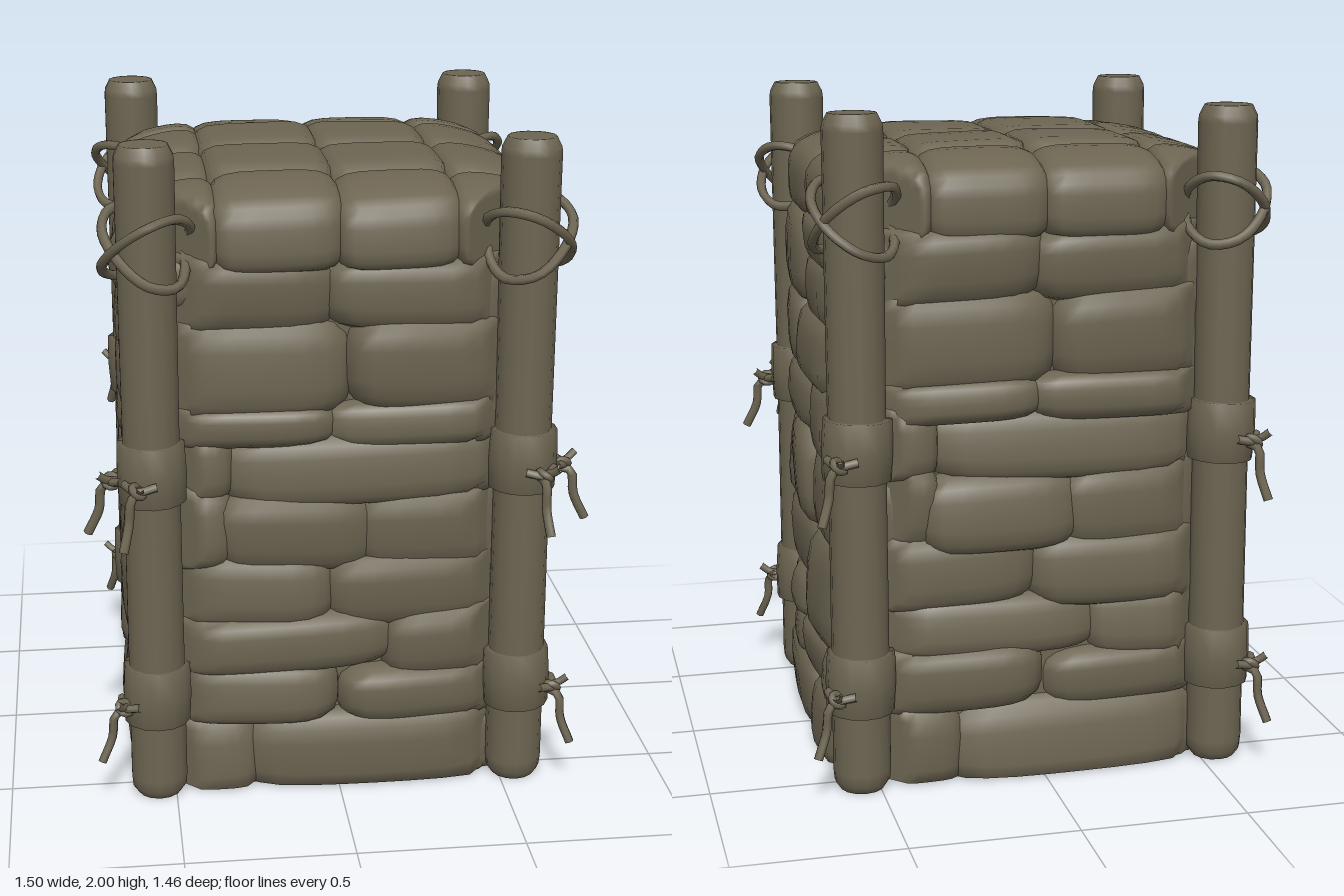
import * as THREE from 'three';
import { mergeVertices } from 'three/addons/utils/BufferGeometryUtils.js';

const material = new THREE.MeshStandardMaterial({ color: 0x6d6552 });
material.name = 'weathered brown';

let seed = 7;
const rand = () => (seed = (seed * 16807) % 2147483647) / 2147483647;
const spread = (a) => (rand() * 2 - 1) * a;

function add(parent, geometry, name) {
  const mesh = new THREE.Mesh(geometry, material);
  mesh.name = name;
  parent.add(mesh);
  return mesh;
}

// Pillow-shaped block filling the given box; bend moves each point, cut trims the pillar corners
function stoneGeometry([x0, x1], [y0, y1], [z0, z1], cut, n, tilt, bend) {
  let g = new THREE.BoxGeometry(2, 2, 2, 8, 6, 6);
  g.deleteAttribute('uv');
  g.deleteAttribute('normal');
  g = mergeVertices(g);
  const p = g.attributes.position;
  const tx = spread(tilt), ty = spread(tilt), skew = spread(tilt);
  const v3 = new THREE.Vector3();
  for (let i = 0; i < p.count; i++) {
    const a = [p.getX(i), p.getY(i), p.getZ(i)];
    const k = a.reduce((s, v) => s + Math.abs(v) ** n, 0) ** (-1 / n);
    const [u, v, w] = a.map((c) => c * k);
    v3.set(
      (x0 + x1) / 2 + (u * (x1 - x0)) / 2,
      (y0 + y1) / 2 + (v * (y1 - y0)) / 2 + u * skew * 0.6,
      (z0 + z1) / 2 + (w * (z1 - z0)) / 2 + Math.max(0, w) * (u * tx + v * ty));
    bend(v3);
    const over = Math.max(0, Math.abs(v3.x) + Math.abs(v3.z) - cut) / 2;
    p.setXYZ(i, v3.x - Math.sign(v3.x) * over, Math.max(0.006, v3.y), v3.z - Math.sign(v3.z) * over);
  }
  g.computeVertexNormals();
  return g;
}

// Wall layouts: [left, right, bottom, top] of every stone
const frontWall = [
  [-0.52, -0.26, 0, 0.23], [-0.29, 0.52, 0, 0.23],
  [-0.52, -0.02, 0.23, 0.41], [0.02, 0.52, 0.22, 0.37],
  [-0.52, 0.17, 0.4, 0.56], [0.15, 0.52, 0.36, 0.56],
  [-0.52, -0.03, 0.55, 0.76], [-0.03, 0.52, 0.53, 0.74],
  [-0.52, -0.33, 0.74, 0.97], [-0.36, 0.1, 0.72, 0.94], [0.06, 0.52, 0.71, 0.94],
  [-0.52, -0.33, 0.95, 1.14], [-0.35, 0.52, 0.93, 1.13],
  [-0.52, -0.02, 1.12, 1.21], [-0.04, 0.52, 1.11, 1.22],
  [-0.52, 0.02, 1.2, 1.48], [0.04, 0.52, 1.21, 1.47],
  [-0.52, -0.02, 1.46, 1.66], [-0.03, 0.52, 1.46, 1.65],
];
const sideWall = [
  [-0.52, 0.08, 0, 0.22], [0.08, 0.52, 0, 0.21],
  [-0.52, -0.34, 0.21, 0.44], [-0.36, -0.04, 0.21, 0.35], [-0.36, 0, 0.34, 0.45],
  [-0.04, 0.28, 0.2, 0.36], [0.27, 0.52, 0.2, 0.36],
  [-0.52, 0.02, 0.44, 0.68], [0.02, 0.52, 0.35, 0.69],
  [-0.52, -0.28, 0.66, 0.98], [-0.29, 0.03, 0.66, 0.98], [0.02, 0.52, 0.68, 0.95],
  [-0.52, 0.09, 0.97, 1.13], [0.08, 0.52, 0.94, 1.18],
  [-0.52, -0.15, 1.12, 1.38], [-0.17, 0.52, 1.16, 1.36],
  [-0.52, 0.01, 1.37, 1.64], [0, 0.52, 1.36, 1.54], [0.02, 0.52, 1.53, 1.66],
];

function wall(layout, reach, angle, name) {
  const group = new THREE.Group();
  group.name = name;
  group.rotation.y = angle;
  const bow = (v) => { v.z -= 0.08 * v.x * v.x; };
  for (const [a, b, c, d] of layout) {
    const out = reach + spread(0.012);
    const bottom = c === 0 ? -0.06 : c - 0.025;
    add(group, stoneGeometry([a - 0.03, b + 0.03], [bottom, d + 0.025],
      [0.25, out], 0.995 + spread(0.015), 4, 0.018, bow), 'wallStone');
  }
  return group;
}

// Capping stones in a four by four grid, their tops sloping down toward the rim
function capStones() {
  const group = new THREE.Group();
  group.name = 'capStones';
  const xs = [-0.6, -0.355, 0, 0.34, 0.6], zs = [-0.6, -0.36, -0.02, 0.35, 0.6];
  const drop = (c) => 0.055 * (Math.max(0, Math.abs(c) - 0.34) / 0.26) ** 2;
  const slope = (v) => { v.y -= (drop(v.x) + drop(v.z)) * Math.max(0, (v.y - 1.64) / 0.25); };
  for (let i = 0; i < 4; i++) {
    for (let j = 0; j < 4; j++) {
      const rim = (i % 3 === 0) + (j % 3 === 0);
      const top = 1.892 - rim * 0.006 + spread(0.005);
      add(group, stoneGeometry([xs[i] - 0.02, xs[i + 1] + 0.02], [1.62, top],
        [zs[j] - 0.02, zs[j + 1] + 0.02], 0.965, rim ? 4.5 : 6, 0.008, slope), 'capStone');
    }
  }
  return group;
}

// Solid heart of the pillar with chamfered corners and a flat underside
function core() {
  const s = new THREE.Shape();
  const X = 0.56, Z = 0.54, c = 0.18;
  [[X, -Z + c], [X, Z - c], [X - c, Z], [-X + c, Z], [-X, Z - c], [-X, -Z + c], [-X + c, -Z], [X - c, -Z]]
    .forEach(([x, z], i) => (i ? s.lineTo(x, z) : s.moveTo(x, z)));
  const g = new THREE.ExtrudeGeometry(s, { depth: 1.78, bevelEnabled: false });
  return g.rotateX(-Math.PI / 2);
}

const tube = (points, radius, closed = false) => new THREE.TubeGeometry(
  new THREE.CatmullRomCurve3(points.map((p) => new THREE.Vector3(...p)), closed),
  closed ? 32 : 10, radius, 6, closed);

// Leather strap with a knot and a hanging end at each given angle
function strap(y, angles) {
  const group = new THREE.Group();
  group.name = 'strap';
  const profile = [[0.08, -0.09], [0.1, -0.09], [0.104, 0], [0.1, 0.09], [0.08, 0.09]];
  const band = add(group, new THREE.LatheGeometry(
    profile.map(([r, h]) => new THREE.Vector2(r, h)), 14), 'band');
  band.rotation.z = spread(0.04);
  for (const angle of angles) {
    const knot = new THREE.Group();
    knot.name = 'knot';
    knot.rotation.y = -angle;
    knot.position.y = -0.025;
    const loop = add(knot, new THREE.TorusGeometry(0.02, 0.012, 6, 10), 'knotLoop');
    loop.position.set(0.118, 0, 0);
    loop.rotation.x = 0.8;
    add(knot, tube([[0.1, -0.01, 0], [0.145, -0.02, 0.01], [0.155, -0.09, 0.015], [0.19, -0.165, 0.02]], 0.014), 'hangingEnd');
    add(knot, tube([[0.1, 0, 0], [0.135, 0.01, -0.015], [0.16, 0.03, -0.025]], 0.012), 'shortEnd');
    add(knot, tube([[0.095, 0.01, -0.05], [0.125, 0, 0], [0.095, 0.01, 0.05]], 0.013), 'wrap');
    group.add(knot);
  }
  group.position.y = y;
  return group;
}

function post(x, z, midAngles, lowAngle) {
  const group = new THREE.Group();
  group.name = 'cornerPost';
  const profile = [[0, 0], [0.06, 0], [0.066, 0], [0.083, 0.025], [0.086, 0.06], [0.084, 1],
    [0.087, 1.95], [0.085, 1.97], [0.07, 2], [0.063, 2], [0, 2]];
  add(group, new THREE.LatheGeometry(
    profile.map(([r, h]) => new THREE.Vector2(r, h)), 14), 'pole');
  group.add(strap(1.04, midAngles), strap(0.335, [lowAngle]));
  // Two tilted rope loops that cross on the outer corner
  const outward = Math.atan2(z, Math.sign(x) * Math.abs(z) * 1.5);
  for (const side of [-1, 1]) {
    const points = [];
    for (let i = 0; i < 8; i++) {
      const a = (i / 8) * Math.PI * 2, r = 0.12 + spread(0.01);
      points.push([Math.cos(a) * r, 1.705 + side * Math.sin(a - outward) * 0.1, Math.sin(a) * r]);
    }
    add(group, tube(points, 0.015, true), 'ropeLoop');
  }
  group.position.set(x, 0, z);
  return group;
}

export function createModel() {
  const model = new THREE.Group();
  model.name = 'stonePillar';
  add(model, core(), 'core');
  model.add(
    wall(frontWall, 0.612, 0, 'frontWall'),
    wall(sideWall, 0.635, Math.PI / 2, 'leftWall'),
    wall(frontWall, 0.612, Math.PI, 'backWall'),
    wall(sideWall, 0.635, -Math.PI / 2, 'rightWall'),
    capStones(),
  );
  const q = Math.PI / 4;
  model.add(
    post(0.548, 0.547, [0.1 * q, 1.5 * q], q * 0.7),
    post(-0.55, 0.547, [3.9 * q, 2.5 * q], q * 3.3),
    post(0.55, -0.543, [-1.2 * q], -q),
    post(-0.552, -0.543, [-2.8 * q], -3 * q),
  );
  return model;
}
